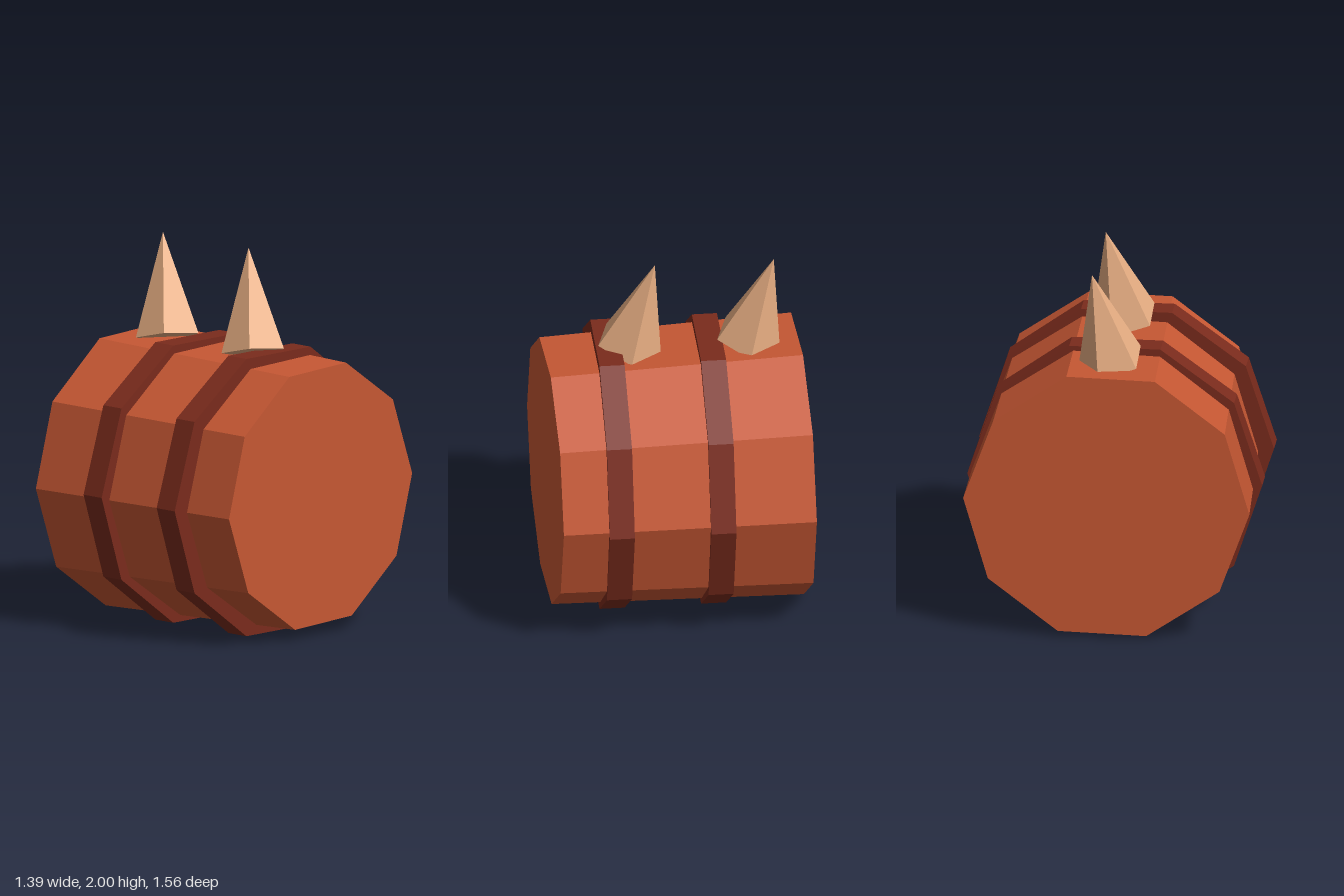
import * as THREE from 'three';

const paint = (color) => new THREE.MeshStandardMaterial({ color, flatShading: true });

// Ten-sided drum lying along x
function drum(name, rLeft, rRight, length, material) {
  const geometry = new THREE.CylinderGeometry(rRight, rLeft, length, 10);
  geometry.rotateZ(-Math.PI / 2);
  const mesh = new THREE.Mesh(geometry, material);
  mesh.name = name;
  return mesh;
}

// Five-sided spike whose tip leans and whose base tilts with it
function spikeGeometry() {
  const height = 0.53;
  const geometry = new THREE.ConeGeometry(0.175, height, 5);
  geometry.rotateY(Math.PI);
  geometry.translate(0, height / 2, 0);
  const p = geometry.attributes.position;
  for (let i = 0; i < p.count; i++) {
    const x = p.getX(i), y = p.getY(i), z = p.getZ(i);
    const t = y / height;
    p.setXYZ(i, x - 0.13 * t, y + (0.25 * x + 0.17 * z) * (1 - t), z - 0.09 * t);
  }
  geometry.computeVertexNormals();
  return geometry;
}

export function createModel() {
  const group = new THREE.Group();
  const wood = paint(0xc65733);
  const band = paint(0x7a2b1c);
  const horn = paint(0xeab084);

  // Slightly tapered, slightly crooked barrel
  const barrel = drum('barrel', 0.757, 0.717, 1.34, wood);
  barrel.position.set(-0.002, 0.748, -0.022);
  barrel.rotation.set(0.032, 0.035, 0);
  group.add(barrel);

  // Two straight hoops
  for (const x of [-0.203, 0.335]) {
    const hoop = drum('hoop', 0.782, 0.782, 0.133, band);
    hoop.position.set(x, 0.745, 0);
    group.add(hoop);
  }

  // Two leaning spikes on top
  const geometry = spikeGeometry();
  for (const x of [-0.407, 0.223]) {
    const spike = new THREE.Mesh(geometry, horn);
    spike.name = 'spike';
    spike.position.set(x, 1.47, 0);
    group.add(spike);
  }
  return group;
}
